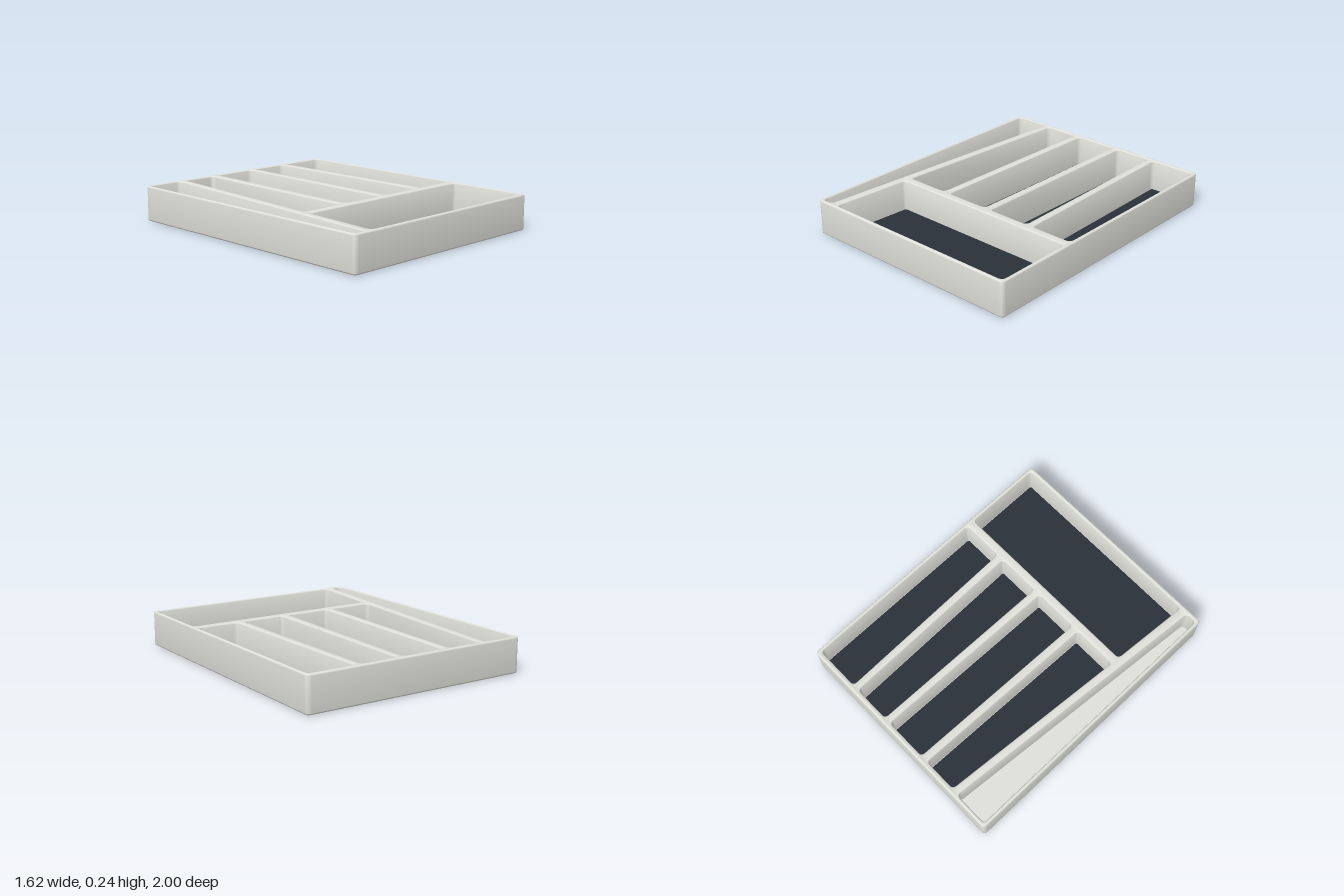
import * as THREE from 'three';
import { toCreasedNormals } from 'three/addons/utils/BufferGeometryUtils.js';

const HEIGHT = 0.245, FLOOR = 0.026, BEVEL = 0.012;

// Corners as [x, z]: back left, back right, front right, front left (seen from above)
const outline = [[-0.81, -1], [0.81, -1], [0.81, 1], [-0.81, 1]];
const sideSlot = [[-0.796, -0.985], [-0.533, -0.985], [-0.70, 0.983], [-0.796, 0.983]];
const linedSlots = {
  slotMat1: [[-0.50, -0.977], [-0.24, -0.977], [-0.28, 0.37], [-0.612, 0.37]],
  slotMat2: [[-0.205, -0.977], [0.115, -0.977], [0.085, 0.37], [-0.245, 0.37]],
  slotMat3: [[0.145, -0.977], [0.425, -0.977], [0.443, 0.37], [0.12, 0.37]],
  slotMat4: [[0.455, -0.977], [0.795, -0.977], [0.795, 0.37], [0.478, 0.37]],
  frontMat: [[-0.617, 0.41], [0.795, 0.41], [0.795, 0.983], [-0.66, 0.983]],
};

// Move the four corners inwards
function inset(quad, d) {
  const sx = [1, -1, -1, 1], sz = [1, 1, -1, -1];
  return quad.map(([x, z], i) => [x + sx[i] * d, z + sz[i] * d]);
}

// Rounded polygon drawn counter-clockwise in the plan (shape y = -z)
function rounded(quad, r, PathType = THREE.Shape) {
  const p = quad.map(([x, z]) => new THREE.Vector2(x, -z)).reverse();
  const path = new PathType();
  p.forEach((c, i) => {
    const towards = (q) => q.clone().sub(c).setLength(r).add(c);
    const a = towards(p[(i + 3) % 4]), b = towards(p[(i + 1) % 4]);
    if (i === 0) path.moveTo(a.x, a.y); else path.lineTo(a.x, a.y);
    path.quadraticCurveTo(c.x, c.y, b.x, b.y);
  });
  path.closePath();
  return path;
}

// Extrude a plan shape upwards between two heights
function slab(name, shape, y0, y1, bevel, material) {
  const g = new THREE.ExtrudeGeometry(shape, {
    depth: y1 - y0 - 2 * bevel, curveSegments: 6,
    bevelEnabled: bevel > 0, bevelSize: bevel, bevelThickness: bevel,
    bevelOffset: -bevel, bevelSegments: 4,
  });
  g.rotateX(-Math.PI / 2).translate(0, y0 + bevel, 0);
  const mesh = new THREE.Mesh(toCreasedNormals(g, 0.6), material);
  mesh.name = name;
  return mesh;
}

export function createModel() {
  const tray = new THREE.Group();
  tray.name = 'drawerTray';
  const plastic = new THREE.MeshStandardMaterial({ color: 0xe0e0da });
  plastic.name = 'warmGreyPlastic';
  const lining = new THREE.MeshStandardMaterial({ color: 0x293138 });
  lining.name = 'darkLining';

  // Outer walls and dividers with softened rims
  const walls = rounded(outline, 0.028);
  for (const slot of [sideSlot, ...Object.values(linedSlots)]) {
    walls.holes.push(rounded(inset(slot, 0.01), 0.03, THREE.Path));
  }
  tray.add(slab('wallsAndDividers', walls, 0.001, HEIGHT, BEVEL, plastic));

  // Floor closing all the compartments
  tray.add(slab('floor', rounded(inset(outline, 0.013), 0.02), 0, FLOOR, 0, plastic));

  // Thin lining mats
  for (const [name, slot] of Object.entries(linedSlots)) {
    tray.add(slab(name, rounded(inset(slot, 0.014), 0.015), FLOOR - 0.002, FLOOR + 0.005, 0, lining));
  }
  return tray;
}
